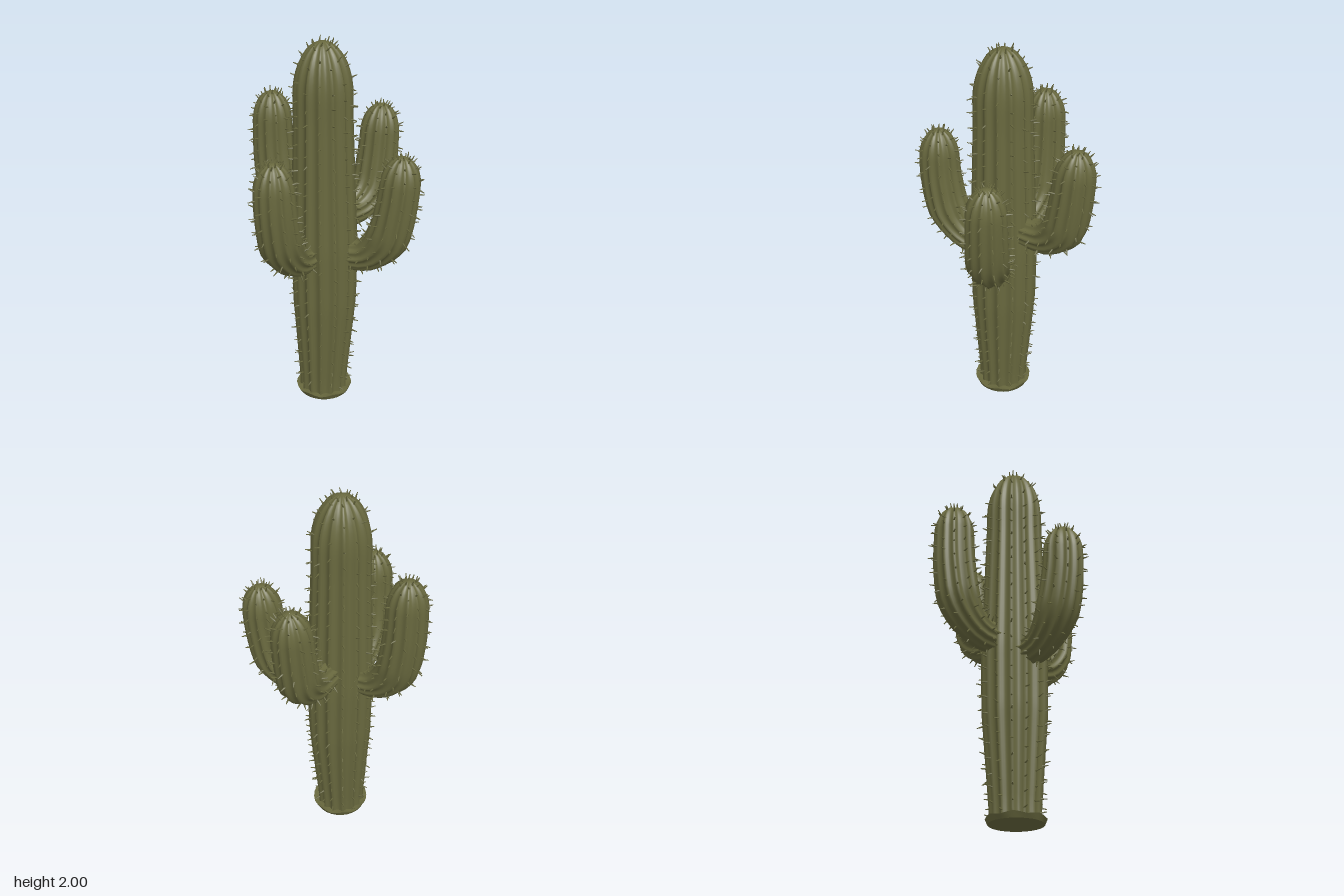
import * as THREE from 'three';
import { mergeGeometries, toCreasedNormals } from 'three/addons/utils/BufferGeometryUtils.js';

const V = (x, y, z) => new THREE.Vector3(x, y, z);

// Small seeded random in -1..1
let seed = 7;
const rnd = () => {
  seed = (seed * 16807) % 2147483647;
  return (seed / 2147483647) * 2 - 1;
};

// Linear interpolation through [t, value] pairs
function profileAt(profile, t) {
  for (let i = 1; i < profile.length; i++) {
    const [a, ra] = profile[i - 1], [b, rb] = profile[i];
    if (t <= b) return ra + (rb - ra) * (t - a) / (b - a);
  }
  return profile[profile.length - 1][1];
}

// Cross-section frames along a path: even steps, then a rounded tip
function makeRings(points, profile, dome, step) {
  const curve = new THREE.CatmullRomCurve3(points);
  const length = curve.getLength(), body = length - dome;
  const count = Math.round(body / step), cap = 10;
  const rings = [];
  let n = null;
  for (let i = 0; i <= count + cap; i++) {
    const lean = i <= count ? 0 : ((i - count) / cap) * Math.PI / 2;
    const s = i <= count ? body * i / count : body + dome * Math.sin(lean);
    const t = Math.min(s / length, 1);
    const T = curve.getTangentAt(t);
    if (!n) {
      n = T.clone().cross(V(0, 1, 0));
      if (n.length() < 0.2) n = V(0, 0, 1);
    }
    n = n.clone().addScaledVector(T, -n.dot(T)).normalize();
    rings.push({
      p: curve.getPointAt(t), T, N: n, B: T.clone().cross(n),
      r: profileAt(profile, t) * Math.max(Math.cos(lean), 0.004), lean,
    });
  }
  return rings;
}

const outward = (ring, a) =>
  ring.N.clone().multiplyScalar(Math.cos(a)).addScaledVector(ring.B, Math.sin(a));

// Ribbed skin with pointed crests and round valleys
function ribbedSkin(rings, ribs, depth) {
  const per = 6, seg = ribs * per, pos = [], index = [];
  rings.forEach((ring, i) => {
    for (let j = 0; j < seg; j++) {
      const a = (j / seg) * Math.PI * 2;
      const r = ring.r * (1 - depth * Math.sin((j % per) / per * Math.PI));
      pos.push(...outward(ring, a).multiplyScalar(r).add(ring.p).toArray());
      if (i < rings.length - 1) {
        const k = (j + 1) % seg, q = i * seg;
        index.push(q + j, q + k, q + seg + j, q + k, q + seg + k, q + seg + j);
      }
    }
  });
  const geo = new THREE.BufferGeometry();
  geo.setAttribute('position', new THREE.Float32BufferAttribute(pos, 3));
  geo.setIndex(index);
  geo.computeVertexNormals();
  return geo;
}

// Little thorns on the rib crests
function thorns(rings, ribs) {
  const list = [], up = V(0, 1, 0), one = V(1, 1, 1);
  for (let j = 0; j < ribs; j++) {
    const a = (j / ribs) * Math.PI * 2;
    for (let i = 1 + (j % 2); i < rings.length - 2; i += rings[i].lean ? 3 : 2) {
      const ring = rings[i], out = outward(ring, a);
      const dir = out.clone().multiplyScalar(Math.cos(ring.lean))
        .addScaledVector(ring.T, Math.sin(ring.lean) + rnd() * 0.35)
        .addScaledVector(ring.T.clone().cross(out), rnd() * 0.35).normalize();
      const base = ring.p.clone().addScaledVector(out, ring.r)
        .addScaledVector(ring.T, ring.lean ? 0 : rnd() * 0.012);
      const len = 0.032 + rnd() * 0.006;
      const cone = new THREE.CylinderGeometry(0.002, 0.0055, len, 5);
      cone.translate(0, len / 2 - 0.008, 0);
      cone.applyMatrix4(new THREE.Matrix4().compose(
        base, new THREE.Quaternion().setFromUnitVectors(up, dir), one));
      list.push(cone);
    }
  }
  return mergeGeometries(list);
}

export function createModel() {
  const green = new THREE.MeshStandardMaterial({ color: 0x68683e });
  green.name = 'cactus green';
  const model = new THREE.Group();
  model.name = 'cactus';

  function addStem(name, points, profile, ribs, depth, dome) {
    const group = new THREE.Group();
    group.name = name;
    const rings = makeRings(points, profile, dome, 0.038);
    const skin = new THREE.Mesh(ribbedSkin(rings, ribs, depth), green);
    skin.name = name + 'Skin';
    const spikes = new THREE.Mesh(thorns(rings, ribs), green);
    spikes.name = name + 'Thorns';
    group.add(skin, spikes);
    model.add(group);
  }

  // Trunk
  addStem('trunk',
    [V(-0.03, 0.01, 0.015), V(-0.022, 0.6, 0.018), V(-0.025, 1.1, 0.015), V(-0.03, 1.99, 0.01)],
    [[0, 0.13], [0.04, 0.132], [0.28, 0.17], [0.45, 0.176], [0.6, 0.165], [0.8, 0.152], [1, 0.15]],
    14, 0.13, 0.27);

  // Arms, each from inside the trunk to its tip
  const armProfile = [[0, 0.075], [0.15, 0.085], [0.4, 0.114], [0.6, 0.111], [1, 0.1]];
  const arms = {
    rightArm: [V(-0.12, 0.87, 0.02), V(-0.24, 0.885, 0.035), V(-0.35, 1.0, 0.05),
      V(-0.4, 1.2, 0.06), V(-0.41, 1.48, 0.06)],
    leftArm: [V(0.08, 1.02, 0.01), V(0.24, 1.035, 0.01), V(0.34, 1.12, 0.01),
      V(0.375, 1.25, 0.01), V(0.41, 1.57, 0.01)],
    frontArm: [V(0.02, 0.86, 0.1), V(0.07, 0.88, 0.23), V(0.11, 0.99, 0.33),
      V(0.135, 1.2, 0.375), V(0.15, 1.45, 0.39)],
    backArm: [V(-0.03, 0.95, -0.07), V(-0.03, 0.97, -0.2), V(-0.03, 1.08, -0.31),
      V(-0.03, 1.27, -0.355), V(-0.03, 1.65, -0.37)],
  };
  for (const [name, points] of Object.entries(arms)) {
    addStem(name, points, armProfile, 12, 0.14, 0.15);
  }

  // Flared foot with a slightly uneven rim
  const foot = new THREE.LatheGeometry(
    [[0, 0], [0.14, 0], [0.153, 0.028], [0.128, 0.02], [0, 0.02]]
      .map(([x, y]) => new THREE.Vector2(x, y)), 28);
  const p = foot.attributes.position;
  for (let i = 0; i < p.count; i++) {
    if (p.getY(i) > 0.025) {
      const a = Math.atan2(p.getZ(i), p.getX(i));
      p.setY(i, 0.027 + 0.006 * Math.sin(a * 7));
    }
  }
  const footMesh = new THREE.Mesh(toCreasedNormals(foot, 0.6), green);
  footMesh.name = 'foot';
  footMesh.position.set(-0.03, 0, 0.02);
  model.add(footMesh);

  return model;
}
